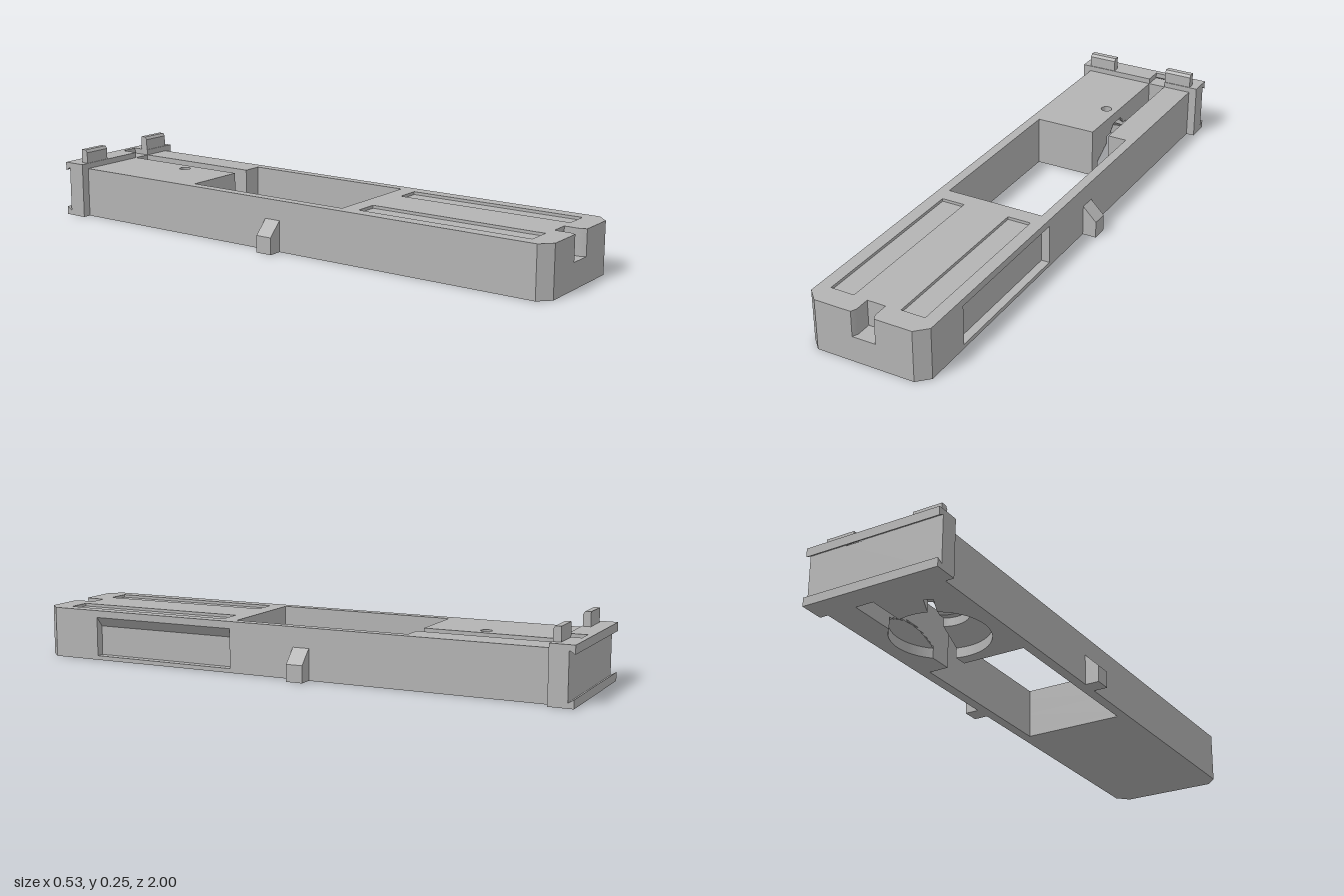
import * as THREE from 'three';
import { toCreasedNormals } from 'three/addons/utils/BufferGeometryUtils.js';
import { ParametricGeometry } from 'three/addons/geometries/ParametricGeometry.js';

const grey = new THREE.MeshStandardMaterial({ color: 0xb3b3b3, side: THREE.DoubleSide });
grey.name = 'grey';

const CZ = 0.625;                    // cavity centre, in -z
const SLOT = [0.045, 0.11];          // x range of the long rear slot

const poly = (pts) => new THREE.Shape(pts.map((p) => new THREE.Vector2(...p)));
const extrude = (shape, depth) => toCreasedNormals(
  new THREE.ExtrudeGeometry(shape, { depth, bevelEnabled: false, curveSegments: 40 }), 0.5);

export function createModel() {
  const model = new THREE.Group();
  const add = (name, geo) => {
    const m = new THREE.Mesh(geo, grey);
    m.name = name;
    model.add(m);
    return m;
  };
  // plan shape (x, -z) raised from y0 to y1
  const layer = (name, shape, y0, y1) =>
    add(name, extrude(shape, y1 - y0).rotateX(-Math.PI / 2).translate(0, y0, 0));
  // side profile (z, y) swept from x0 to x1
  const sweepX = (name, pts, x0, x1) =>
    add(name, extrude(poly(pts), x1 - x0).rotateY(-Math.PI / 2).translate(x1, 0, 0));
  // front profile (x, y) swept from z0 to z1
  const sweepZ = (name, pts, z0, z1) =>
    add(name, extrude(poly(pts), z1 - z0).translate(0, 0, z0));

  // Front block: chamfered corners, side pocket, end notch and top grooves
  const frontShape = (pocket, notch, grooves) => {
    const s = poly([
      [-0.215, -0.22], [-0.215, -0.96], [-0.175, -1],
      ...(notch ? [[-0.042, -1], [-0.033, -0.98], [-0.033, -0.925],
        [0.033, -0.925], [0.033, -0.98], [0.042, -1]] : []),
      [0.175, -1], [0.215, -0.96],
      ...(pocket ? [[0.215, -0.78], [0.185, -0.78], [0.185, -0.23], [0.215, -0.23]] : []),
      [0.215, -0.22]]);
    if (grooves) for (const x of [-0.17, 0.085]) {
      s.holes.push(poly([[x, -0.92], [x + 0.085, -0.92], [x + 0.085, -0.28], [x, -0.28]]));
    }
    return s;
  };
  layer('frontBase', frontShape(false, false, false), 0, 0.015);
  layer('frontLower', frontShape(true, false, false), 0.015, 0.09);
  layer('frontUpper', frontShape(true, true, false), 0.09, 0.155);
  layer('frontDeck', frontShape(false, true, false), 0.155, 0.17);
  layer('frontGroovedTop', frontShape(false, true, true), 0.17, 0.18);
  // sloping ceiling of the side pocket
  sweepZ('pocketCeiling', [[0.185, 0.12], [0.215, 0.155], [0.185, 0.155]], 0.23, 0.78);

  // Rails beside the window
  for (const s of [-1, 1]) {
    add('windowRail', new THREE.BoxGeometry(0.035, 0.18, 0.64)).position.set(s * 0.1975, 0.09, -0.1);
  }

  // Rear block in layers around a round stepped cavity of radius r
  const rearLeft = (r, radialSlot) => {
    const s = new THREE.Shape();
    s.moveTo(-0.215, 0.42);
    s.lineTo(SLOT[0], 0.42);
    if (r > SLOT[0]) {
      const a = Math.acos(SLOT[0] / r);
      if (radialSlot) {
        const t = 2.02, d = 0.09, e = 0.06;
        s.absarc(0, CZ, r, -a, t + d, true);
        for (const q of [t + e, t - e]) s.lineTo(0.245 * Math.cos(q), CZ + 0.245 * Math.sin(q));
        s.absarc(0, CZ, r, t - d, a, true);
      } else s.absarc(0, CZ, r, -a, a, true);
    } else {
      s.holes.push(new THREE.Path().absarc(0, CZ, r, 0, Math.PI * 2, true));
    }
    s.lineTo(SLOT[0], 0.92);
    s.lineTo(-0.215, 0.92);
    return s;
  };
  const rearRight = (r) => {
    const s = new THREE.Shape();
    s.moveTo(SLOT[1], 0.42);
    s.lineTo(0.215, 0.42);
    s.lineTo(0.215, 0.92);
    s.lineTo(SLOT[1], 0.92);
    if (r > SLOT[1]) {
      const a = Math.acos(SLOT[1] / r);
      s.absarc(0, CZ, r, a, -a, true);
    }
    return s;
  };
  const rear = (y0, y1, r, radialSlot = false) => {
    layer('rearBlockRight', rearLeft(r, radialSlot), y0, y1);
    layer('rearBlockLeft', rearRight(r), y0, y1);
  };
  // Tapered band: smooth cone surface with hidden steps behind it
  const taper = (r0, y0, r1, y1, n) => {
    const mix = THREE.MathUtils.lerp;
    for (let i = 0; i < n; i++) {
      rear(mix(y0, y1, i / n), mix(y0, y1, (i + 1) / n), mix(r0, r1, i / n));
    }
    const cone = (side) => new ParametricGeometry((u, v, out) => {
      const end = side ? Math.max(r1, SLOT[1]) : r1;
      const r = mix(r0, end, v);
      const a = Math.acos(Math.min(1, SLOT[side] / r));
      const p = side ? mix(-a, a, u) : mix(a, Math.PI * 2 - a, u);
      out.set(r * Math.cos(p), mix(y0, y1, (r - r0) / (r1 - r0)), -CZ - r * Math.sin(p));
    }, 48, 6);
    add('cavityCone', cone(0));
    if (r0 > SLOT[1]) add('cavityConeSide', cone(1));
  };
  rear(0, 0.035, 0.163, true);
  taper(0.163, 0.035, 0.092, 0.08, 6);
  rear(0.08, 0.11, 0.092);
  taper(0.07, 0.11, 0.05, 0.14, 3);
  rear(0.14, 0.18, 0.02);

  // End plate with a shallow notch over the slot
  sweepZ('endPlate', [[-0.245, 0], [0.245, 0], [0.245, 0.2], [SLOT[1], 0.2],
    [SLOT[1], 0.18], [SLOT[0], 0.18], [SLOT[0], 0.2], [-0.245, 0.2]], -0.98, -0.915);
  // Lips along the back of the plate
  sweepX('upperLip', [[-0.98, 0.2], [-1, 0.2], [-1, 0.17], [-0.98, 0.182]], -0.245, 0.245);
  sweepX('lowerLip', [[-0.98, 0], [-1, 0], [-1, 0.03], [-0.98, 0.018]], -0.245, 0.245);

  // Mirrored top tabs and side catches
  for (const s of [-1, 1]) {
    const x = s > 0 ? 0.11 : -0.215;
    sweepX('topTab', [[-0.918, 0.2], [-0.918, 0.24], [-0.925, 0.25],
      [-0.945, 0.25], [-0.945, 0.2]], x, x + 0.105);
    sweepZ('sideCatch', [[s * 0.21, 0], [s * 0.265, 0], [s * 0.265, 0.06],
      [s * 0.215, 0.11], [s * 0.21, 0.11]], -0.075, -0.015);
  }
  return model;
}
